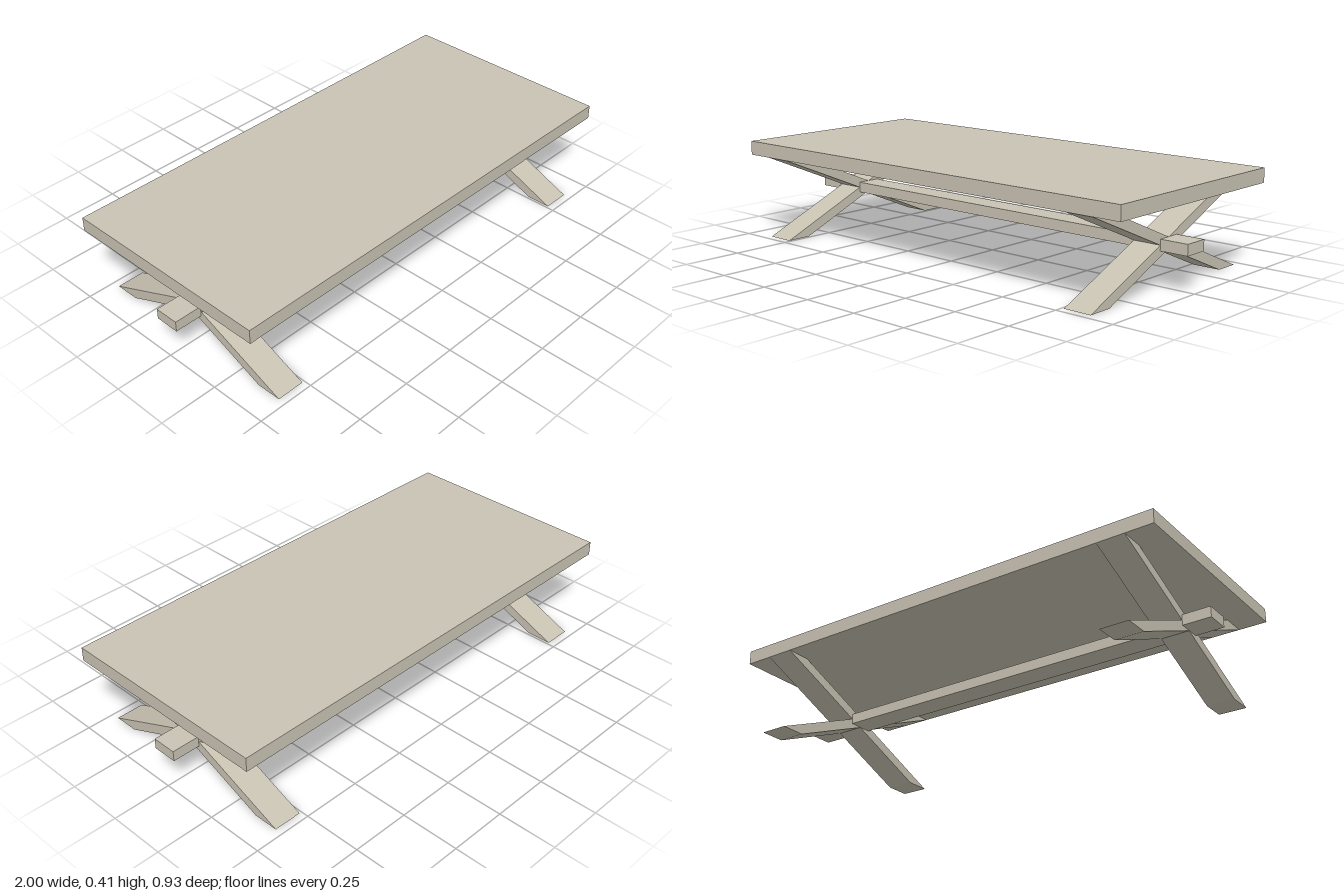
import * as THREE from 'three';

const wood = new THREE.MeshStandardMaterial({ color: 0xc8c2b2 });
wood.name = 'pale wood';

function box(name, w, h, d, y) {
  const mesh = new THREE.Mesh(new THREE.BoxGeometry(w, h, d), wood);
  mesh.name = name;
  mesh.position.y = y;
  return mesh;
}

// Slanted beam with ends cut level with the floor and the tabletop
function beamGeometry(dir) {
  const pts = [[0.467, 0], [-0.36, 0.35], [-0.467, 0.35], [0.36, 0]];
  const shape = new THREE.Shape(pts.map(([z, y]) => new THREE.Vector2(z * dir, y)));
  const geo = new THREE.ExtrudeGeometry(shape, { depth: 0.12, bevelEnabled: false });
  geo.translate(0, 0, -0.06);
  geo.rotateY(-Math.PI / 2);
  return geo;
}

export function createModel() {
  const table = new THREE.Group();
  table.name = 'trestleTable';

  table.add(box('tabletop', 2, 0.06, 0.934, 0.38));
  table.add(box('stretcher', 2, 0.045, 0.107, 0.1755));

  // Crossed legs at each end
  for (const side of [1, -1]) {
    const trestle = new THREE.Group();
    trestle.name = side > 0 ? 'leftTrestle' : 'rightTrestle';
    trestle.position.x = 0.82 * side;
    for (const dir of [1, -1]) {
      const leg = new THREE.Mesh(beamGeometry(dir), wood);
      leg.name = dir > 0 ? 'frontFootLeg' : 'backFootLeg';
      trestle.add(leg);
    }
    table.add(trestle);
  }
  return table;
}
